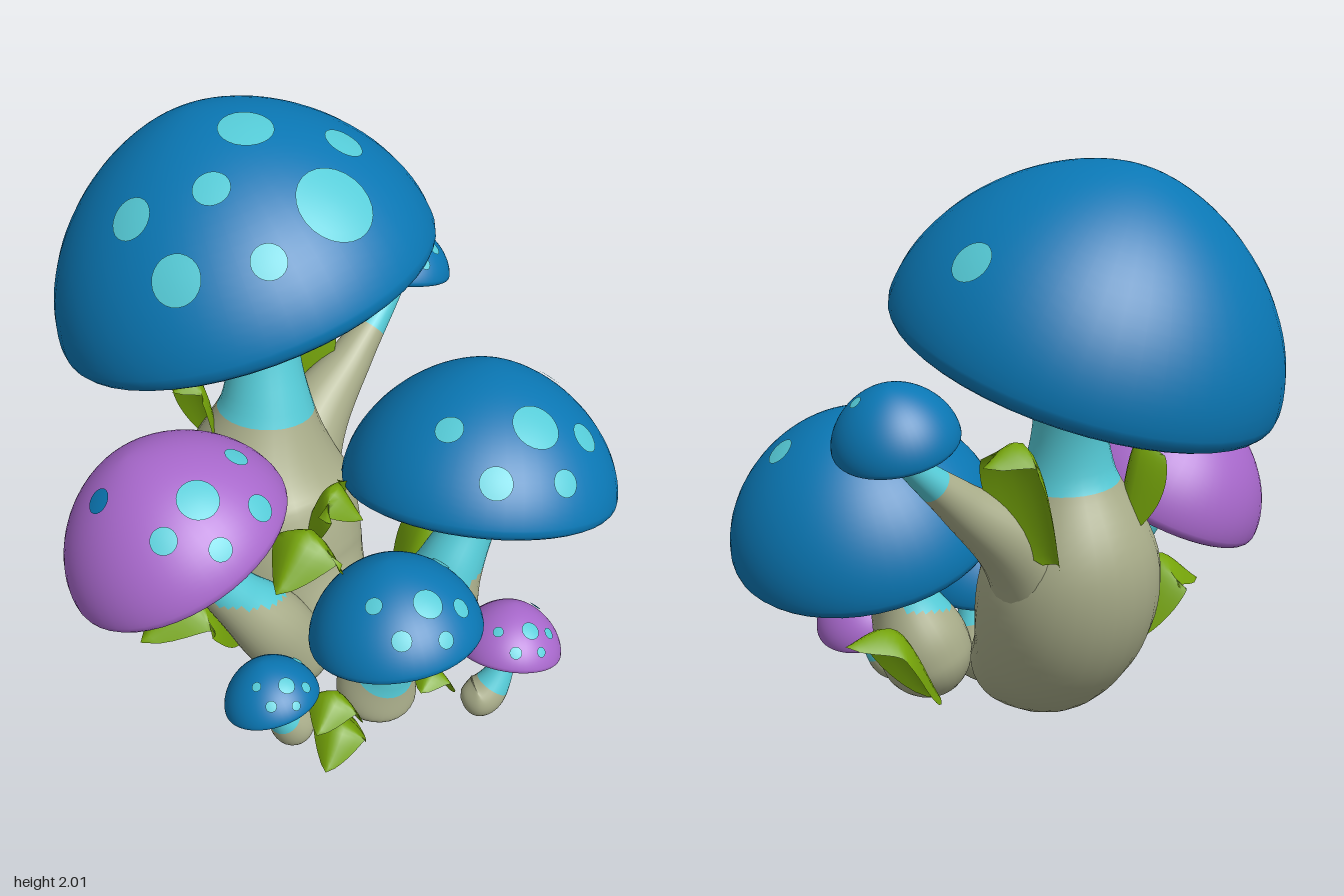
import * as THREE from 'three';
import { mergeVertices } from 'three/addons/utils/BufferGeometryUtils.js';

const V = (x, y, z) => new THREE.Vector3(x, y, z);
const UP = V(0, 1, 0);
const ROUND = 1.75; // superellipse exponent of the domes

const mat = (name, color, side = THREE.FrontSide) => {
  const m = new THREE.MeshStandardMaterial({ color, side });
  m.name = name;
  return m;
};

const smooth = (g) => {
  g.deleteAttribute('uv');
  g.deleteAttribute('normal');
  const out = mergeVertices(g, 1e-5);
  out.computeVertexNormals();
  return out;
};

const add = (parent, name, geometry, material) => {
  const mesh = new THREE.Mesh(geometry, material);
  mesh.name = name;
  parent.add(mesh);
};

// Spot layouts as [x, z, size] in cap radii, seen from above
const WIDE_SPOTS = [[0.12, 0.68, 0.21], [-0.69, 0.54, 0.13], [-0.31, 0.76, 0.09], [-0.4, 0.38, 0.1],
  [-0.06, 0.15, 0.15], [0.4, 0.35, 0.11], [0.78, -0.37, 0.11], [-0.74, 0.15, 0.12]];
const FEW_SPOTS = [[0.05, 0.52, 0.19], [-0.42, 0.66, 0.12], [0.44, 0.62, 0.12], [0.05, 0.84, 0.1],
  [-0.5, 0.2, 0.11], [0.7, -0.08, 0.12]];

// Spot: a disc wrapped onto a dome of radius r and height h
function spotGeometry(dir, size, r, h) {
  const facing = new THREE.Quaternion().setFromUnitVectors(V(0, 0, 1), dir);
  const g = new THREE.RingGeometry(0, size, 24, 4);
  const p = g.attributes.position, v = V(0, 0, 0);
  for (let i = 0; i < p.count; i++) {
    v.fromBufferAttribute(p, i).applyQuaternion(facing).addScaledVector(dir, r);
    const norm = (Math.hypot(v.x, v.z) / r) ** ROUND + (Math.abs(v.y) / h) ** ROUND;
    v.multiplyScalar(norm ** (-1 / ROUND)).addScaledVector(dir, 0.006);
    p.setXYZ(i, v.x, v.y, v.z);
  }
  return smooth(g);
}

// Dome with a thick rolled lip
function domeGeometry(r, h) {
  const profile = [];
  for (let i = 0; i <= 8; i++) {
    const a = Math.PI * (1 - i / 8);
    profile.push(new THREE.Vector2(r * (0.915 + 0.083 * Math.cos(a)), -r * (0.015 + 0.075 * Math.sin(a))));
  }
  for (let i = 0; i <= 24; i++) {
    const a = (i / 24) * Math.PI / 2, k = 2 / ROUND;
    profile.push(new THREE.Vector2(r * Math.max(0, Math.cos(a)) ** k, h * Math.sin(a) ** k));
  }
  return smooth(new THREE.LatheGeometry(profile, 48));
}

// Gills: a shallow hollow cone with radial ridges
function gillGeometry(r) {
  const rows = 6, profile = [];
  for (let i = 0; i < rows; i++) {
    const x = 0.1 + 0.77 * i / (rows - 1);
    profile.push(new THREE.Vector2(r * x, r * (0.345 - 0.46 * x)));
  }
  const g = new THREE.LatheGeometry(profile, 64);
  const p = g.attributes.position;
  for (let i = 0; i < p.count; i++) {
    const row = i % rows, ridge = Math.floor(i / rows) % 4 === 0;
    if (ridge && row > 0 && row < rows - 1) p.setY(i, p.getY(i) + 0.03 * r);
  }
  return smooth(g);
}

// Stem: tube through points with radius in w and a rounded foot; the second material
// starts at the split height, which slants down toward +x by the given amount
function stemGeometry(pts, split, slant) {
  const curve = new THREE.CatmullRomCurve3(pts.map((p) => V(p.x, p.y, p.z)));
  const radii = new THREE.SplineCurve(pts.map((p, i) => new THREE.Vector2(i, p.w)));
  const rings = 48, sides = 28, foot = pts[0].w / curve.getLength();
  const g = new THREE.TubeGeometry(curve, rings, 1, sides);
  const p = g.attributes.position, n = g.attributes.normal;
  const lower = [], upper = [], isUpper = [];
  for (let i = 0; i <= rings; i++) {
    const u = i / rings, c = curve.getPointAt(u);
    const round = Math.sqrt(1 - (1 - Math.min(1, u / foot)) ** 2);
    const rad = Math.max(0.0005, radii.getPoint(curve.getUtoTmapping(u)).y * round);
    for (let j = 0; j <= sides; j++) {
      const k = i * (sides + 1) + j;
      if (i < rings && j < sides) isUpper.push(c.y + slant * n.getX(k) > split);
      p.setXYZ(k, c.x + n.getX(k) * rad, c.y + n.getY(k) * rad, c.z + n.getZ(k) * rad);
    }
  }
  const out = smooth(g);
  const index = Array.from(out.index.array);
  isUpper.forEach((up, q) => (up ? upper : lower).push(...index.slice(q * 6, q * 6 + 6)));
  out.setIndex([...lower, ...upper]);
  out.clearGroups();
  out.addGroup(0, lower.length, 0);
  out.addGroup(lower.length, upper.length, 1);
  return out;
}

// Leaf: arched blade with drooping sides, rising to a given height between base and tip
function leafGeometry(base, tip, rise) {
  const a = V(...base), b = V(...tip);
  const side = UP.clone().cross(b.clone().sub(a)).normalize();
  const curve = new THREE.CatmullRomCurve3([a, a.clone().lerp(b, 0.5).setY(rise), b]);
  const half = curve.getLength() * 0.24;
  const g = new THREE.PlaneGeometry(2, 1, 8, 18);
  const p = g.attributes.position;
  for (let i = 0; i < p.count; i++) {
    const s = p.getX(i), u = p.getY(i) + 0.5;
    const c = curve.getPointAt(u);
    const up = curve.getTangentAt(u).cross(side).normalize();
    const w = half * (0.3 * (1 - u) + Math.max(0, Math.sin(Math.PI * u)) ** 0.75);
    c.addScaledVector(side, s * w).addScaledVector(up, -0.6 * Math.abs(s) ** 1.4 * w);
    p.setXYZ(i, c.x, c.y, c.z);
  }
  return smooth(g);
}

export function createModel() {
  const blue = mat('blue cap', 0x0a77b4);
  const purple = mat('purple cap', 0xa868cc);
  const cyan = mat('cyan flesh', 0x55cbd7);
  const beige = mat('beige stem', 0xa9ad8a);
  const green = mat('green leaf', 0x76a50a, THREE.DoubleSide);
  const model = new THREE.Group();
  model.name = 'mushroomCluster';

  // Mushroom: cap centre, lean in x and z, cap radius, stem points [x, y, z, radius] below the neck
  function mushroom(name, color, center, lean, r, [split, slant], stem, spots = FEW_SPOTS) {
    const group = new THREE.Group();
    group.name = name;
    model.add(group);
    const axis = V(lean[0], 1, lean[1]).normalize();
    const at = V(...center), h = 0.92 * r;

    const cap = new THREE.Group();
    cap.name = 'cap';
    cap.position.copy(at);
    cap.quaternion.setFromUnitVectors(UP, axis);
    group.add(cap);
    add(cap, 'dome', domeGeometry(r, h), color);
    add(cap, 'gills', gillGeometry(r), cyan);

    const inverse = cap.quaternion.clone().invert();
    const flip = color === purple && lean[0] < 0 ? -1 : 1;
    spots.forEach(([x, z, size], i) => {
      const dir = V(x * flip, Math.sqrt(1 - x * x - z * z), z).normalize().applyQuaternion(inverse);
      const odd = color === purple && i === spots.length - 1;
      add(cap, 'spot', spotGeometry(dir, size * r, r, h), odd ? blue : cyan);
    });

    // Neck and flare follow the cap axis
    const onAxis = (d, w) => {
      const p = at.clone().addScaledVector(axis, d * r);
      return new THREE.Vector4(p.x, p.y, p.z, w * r);
    };
    const path = [...stem.map((s) => new THREE.Vector4(...s)), onAxis(-0.2, 0.2), onAxis(0.24, 0.4)];
    add(group, 'stem', stemGeometry(path, split, slant), [beige, cyan]);
  }

  mushroom('tallMushroom', blue, [-0.08, 1.41, -0.25], [-0.2, -0.29], 0.645, [0.94, 0],
    [[0, 0.1, 0.35, 0.13], [-0.08, 0.34, 0.03, 0.28], [-0.1, 0.65, -0.12, 0.3], [-0.07, 1, -0.15, 0.15]],
    WIDE_SPOTS);
  mushroom('leftMushroom', blue, [0.475, 0.715, 0.36], [0.26, -0.27], 0.475, [0.4, -0.1],
    [[0.19, 0.04, 0.37, 0.15], [0.27, 0.25, 0.39, 0.17], [0.35, 0.44, 0.4, 0.115]]);
  mushroom('rightMushroom', purple, [-0.585, 0.8, 0.15], [-0.38, -0.3], 0.385, [0.52, 0.13],
    [[-0.16, 0.08, 0.26, 0.13], [-0.31, 0.36, 0.25, 0.13], [-0.43, 0.53, 0.22, 0.095]]);
  mushroom('frontMushroom', blue, [-0.02, 0.445, 0.58], [0, -0.3], 0.292, [0.21, 0],
    [[-0.03, 0, 0.48, 0.11], [-0.03, 0.12, 0.5, 0.14], [-0.025, 0.26, 0.55, 0.085]]);
  mushroom('smallBlueMushroom', blue, [-0.455, 0.3, 0.5], [-0.08, -0.35], 0.16, [0.19, 0],
    [[-0.33, 0.09, 0.48, 0.07], [-0.38, 0.14, 0.5, 0.075]]);
  mushroom('smallPurpleMushroom', purple, [0.39, 0.24, 0.69], [0.28, -0.25], 0.182, [0.1, 0],
    [[0.22, 0.05, 0.66, 0.06], [0.29, 0.065, 0.695, 0.072]]);
  mushroom('sideMushroom', blue, [0.585, 1.18, -0.32], [0.25, -0.25], 0.197, [1.01, 0],
    [[-0.05, 0.5, -0.1, 0.2], [0.13, 0.75, -0.19, 0.14], [0.36, 0.94, -0.25, 0.075]]);

  // Leaves sprouting around the stems
  const leaf = (base, tip, rise) => add(model, 'leaf', leafGeometry(base, tip, rise), green);
  leaf([0.08, 0.74, -0.38], [0.36, 1.1, -0.45], 1.16);
  leaf([-0.2, 0.78, -0.25], [-0.38, 1.06, -0.24], 1.09);
  leaf([-0.03, 0.5, 0.22], [-0.35, 0.6, 0.36], 0.75);
  leaf([-0.12, 0.6, 0.15], [0.02, 0.72, 0.32], 0.84);
  leaf([-0.34, 0.25, 0.1], [-0.75, 0.42, 0.15], 0.55);
  leaf([0.27, 0.1, 0.2], [0.64, 0.38, 0.1], 0.4);
  leaf([-0.15, 0.08, 0.5], [-0.37, 0.2, 0.64], 0.28);
  leaf([-0.15, 0.05, 0.52], [-0.36, 0.05, 0.68], 0.16);
  leaf([0.22, 0.04, 0.55], [0.04, 0.18, 0.66], 0.21);
  return model;
}
